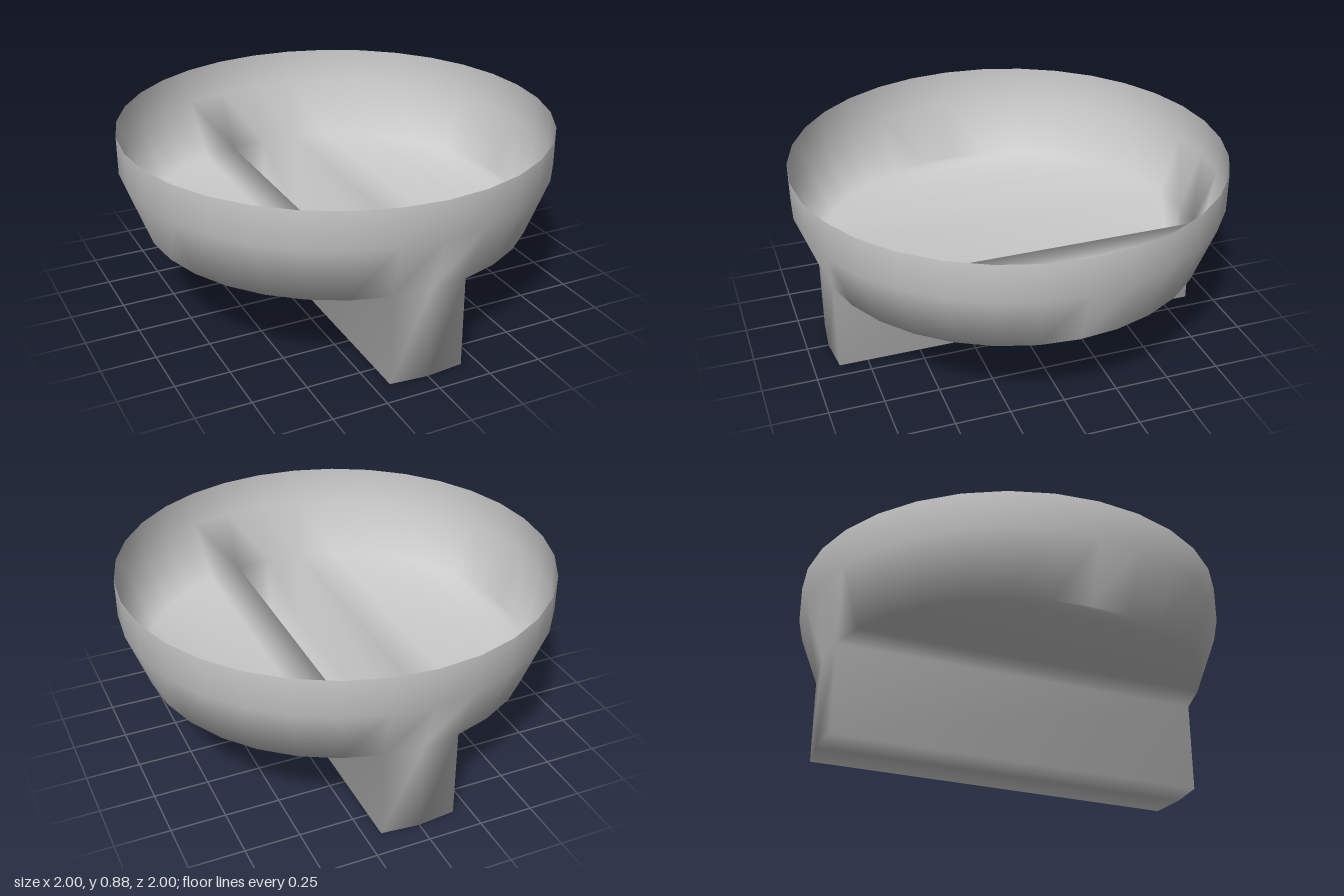
import * as THREE from 'three';

const SIDES = 32;
// Rings from rim to keel bottom: [radius, height]
const RINGS = [[1, 0.875], [1, 0.7], [0.9, 0.425], [0.9, 0]];

export function createModel() {
  const group = new THREE.Group();
  const grey = new THREE.MeshStandardMaterial({ color: 0xcccccc, side: THREE.DoubleSide });
  grey.name = 'grey';

  const positions = [];
  for (const [r, y] of RINGS) {
    for (let k = 0; k < SIDES; k++) {
      const a = (k / SIDES) * Math.PI * 2;
      positions.push(r * Math.sin(a), y, r * Math.cos(a));
    }
  }

  const index = [];
  const id = (ring, k) => ring * SIDES + ((k + SIDES) % SIDES);
  const tri = (a, b, c) => {
    if (a !== b && b !== c && a !== c) index.push(a, b, c);
  };
  const quad = (a, b, c, d) => { tri(a, b, c); tri(a, c, d); };
  // Wall panel between two columns, dropping from one ring to the next
  const wall = (ring, k0, k1) =>
    quad(id(ring + 1, k0), id(ring + 1, k1), id(ring, k1), id(ring, k0));

  // Straight rim band and tapered lower band
  for (let k = 0; k < SIDES; k++) {
    wall(0, k, k + 1);
    wall(1, k, k + 1);
  }

  // Floor in strips from front to back; the two middle strips are the sunken keel bottom
  for (let k = -SIDES / 4; k < SIDES / 4; k++) {
    const ring = k === -1 || k === 0 ? 3 : 2;
    quad(id(ring, 16 - k), id(ring, 15 - k), id(ring, k + 1), id(ring, k));
  }

  // Keel ends and long sides
  for (const k of [-1, 0, 15, 16]) wall(2, k, k + 1);
  wall(2, 1, 15);
  wall(2, 17, 31);

  const geometry = new THREE.BufferGeometry();
  geometry.setAttribute('position', new THREE.Float32BufferAttribute(positions, 3));
  geometry.setIndex(index);
  geometry.computeVertexNormals();

  const bowl = new THREE.Mesh(geometry, grey);
  bowl.name = 'bowlWithKeel';
  group.add(bowl);
  return group;
}
